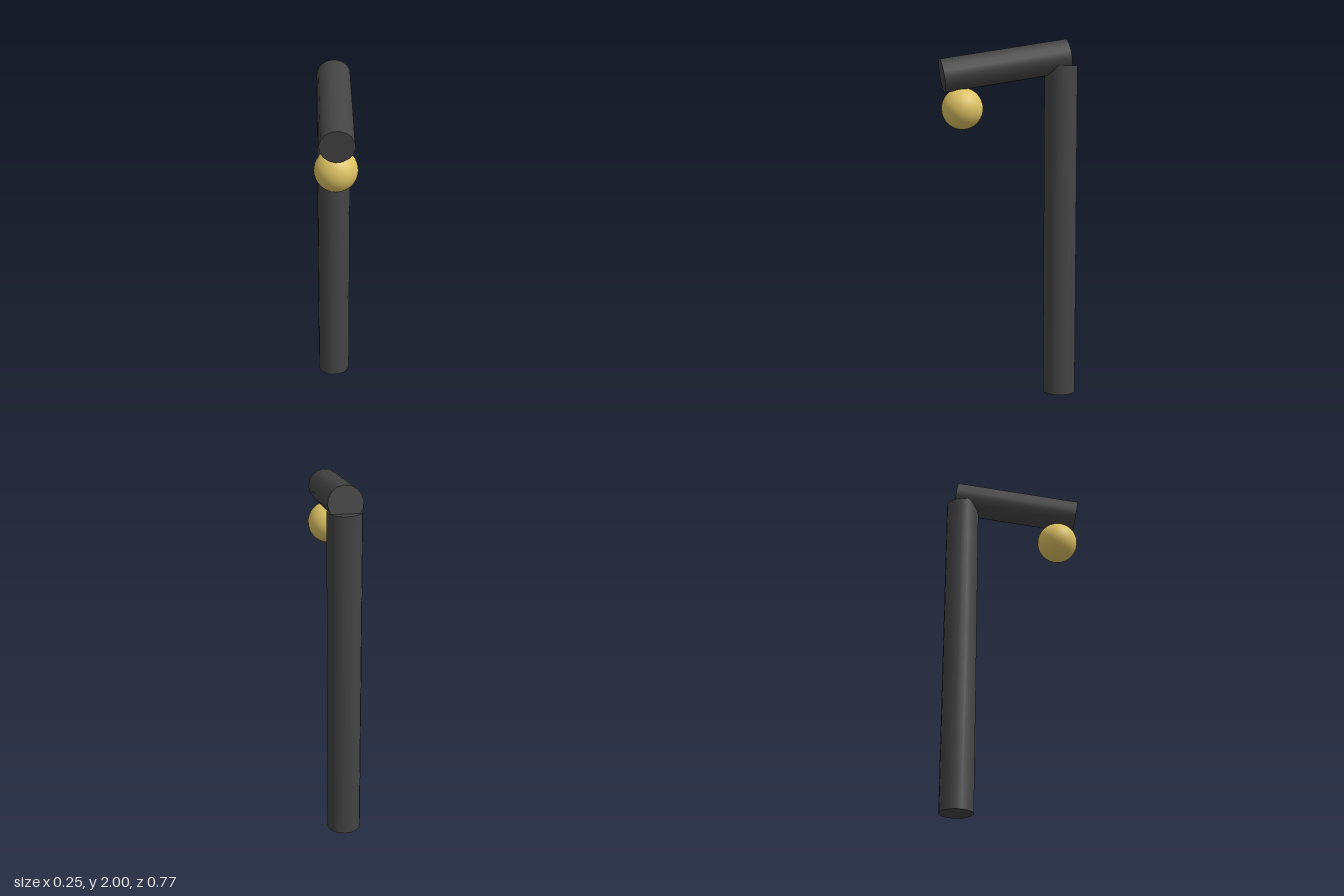
import * as THREE from 'three';

const RADIUS = 0.0925;

export function createModel() {
  const group = new THREE.Group();
  const dark = new THREE.MeshStandardMaterial({ color: 0x444444 });
  const gold = new THREE.MeshStandardMaterial({ color: 0xdcc264 });

  // Closed round bar between two points
  function bar(name, from, to) {
    const axis = to.clone().sub(from);
    const mesh = new THREE.Mesh(new THREE.CylinderGeometry(RADIUS, RADIUS, axis.length(), 16), dark);
    mesh.name = name;
    mesh.position.copy(from).add(to).multiplyScalar(0.5);
    mesh.quaternion.setFromUnitVectors(new THREE.Vector3(0, 1, 0), axis.normalize());
    group.add(mesh);
  }

  // Upright post at the back
  bar('post', new THREE.Vector3(-0.031, 0, -0.29), new THREE.Vector3(-0.031, 1.856, -0.29));

  // Arm sloping down towards the front, turned slightly to the left
  bar('arm', new THREE.Vector3(-0.032, 1.909, -0.328), new THREE.Vector3(0.02, 1.802, 0.37));

  // Lamp globe under the end of the arm
  const globe = new THREE.Mesh(new THREE.SphereGeometry(0.114, 32, 20), gold);
  globe.name = 'lampGlobe';
  globe.position.set(0.009, 1.625, 0.261);
  group.add(globe);

  return group;
}
